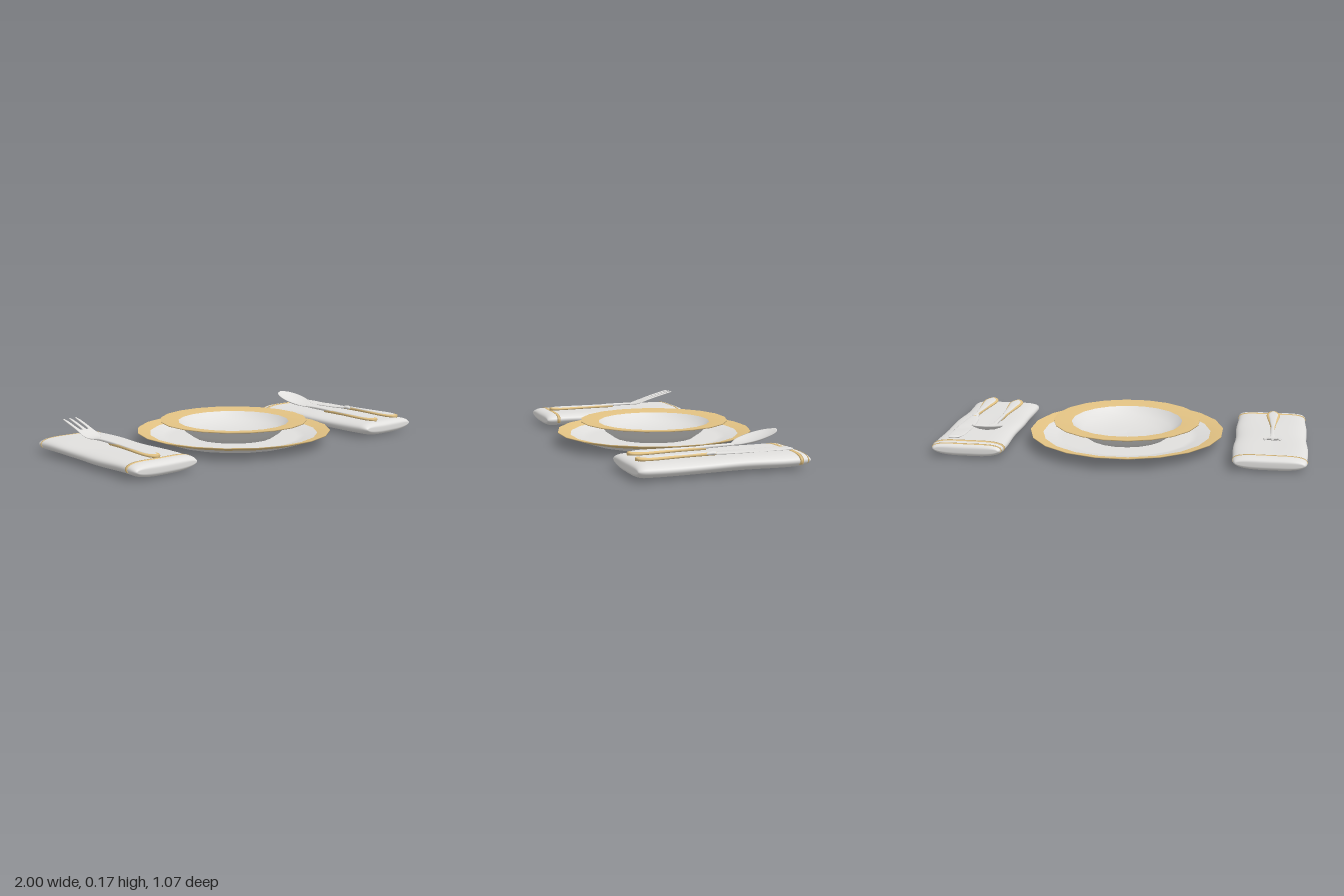
import * as THREE from 'three';

const white = new THREE.MeshStandardMaterial({ color: 0xe0dfdd });
white.name = 'white';
const gold = new THREE.MeshStandardMaterial({ color: 0xe2c283 });
gold.name = 'gold';

// Closed, capped skin over rings that run from +z to -z
function loft(name, rings, material) {
  const n = rings[0].length, last = rings.length - 1, pos = [], idx = [];
  rings.forEach(r => r.forEach(p => pos.push(...p)));
  for (const r of [rings[0], rings[last]]) {
    for (let k = 0; k < 3; k++) pos.push(r.reduce((s, p) => s + p[k], 0) / n);
  }
  const c0 = n * rings.length;
  for (let i = 0; i < n; i++) {
    const j = (i + 1) % n;
    for (let k = 0; k < last; k++) {
      const a = k * n + i, b = k * n + j;
      idx.push(a, a + n, b, b, a + n, b + n);
    }
    idx.push(c0, i, j, c0 + 1, last * n + j, last * n + i);
  }
  const geo = new THREE.BufferGeometry();
  geo.setAttribute('position', new THREE.Float32BufferAttribute(pos, 3));
  geo.setIndex(idx);
  geo.computeVertexNormals();
  const mesh = new THREE.Mesh(geo, material);
  mesh.name = name;
  return mesh;
}

const spow = (v, e) => Math.sign(v) * Math.abs(v) ** e;

// Cutlery part from stations [z, centre x, half width, centre y, half thickness, dish depth]
function bar(name, stations, material) {
  const curve = k => new THREE.CatmullRomCurve3(stations.map(s => new THREE.Vector3(s[k], s[k + 1], s[k + 2])));
  const a = curve(0), b = curve(3), steps = (stations.length - 1) * 3, rings = [];
  for (let k = 0; k <= steps; k++) {
    const p = a.getPoint(k / steps), q = b.getPoint(k / steps);
    rings.push(Array.from({ length: 16 }, (_, i) => {
      const t = i / 16 * Math.PI * 2, c = spow(Math.cos(t), 0.8);
      return [p.y + p.z * c, q.x + q.y * spow(Math.sin(t), 0.7) - q.z * (1 - c * c), p.x];
    }));
  }
  return loft(name, rings, material);
}

// Gold handle with a white inlay on top
function handle(group, x, end, y, width) {
  const shape = [[0, 0.1], [0.01, 0.55], [0.04, 0.93], [0.08, 1], [0.15, 0.84], [0.24, 0.52], [0.34, 0.32], [0.41, 0.27]];
  group.add(bar('handleEdge', shape.map(([d, w]) => [end - d, x, w * width, y, 0.009, 0]), gold));
  group.add(bar('handleInlay', shape.map(([d, w], i) =>
    [end - 0.016 - d * 0.96, x, Math.max(w * width - (i < 5 ? 0.011 : 0.004), 0.003), y + 0.006, 0.0055, 0]), white));
}

// One cross-section of a napkin, sagging in the middle
function napkinRing(z, side, a0, a1, n, grow) {
  const d = Math.max(0, Math.abs(z) - 0.4) / 0.05;
  const round = Math.sqrt(Math.max(0, 1 - d * d));
  const w = 0.175 + 0.02 * round + 0.003 * Math.sin(z * 17 + side) + grow;
  const h = 0.014 + 0.028 * round + grow;
  return Array.from({ length: n }, (_, i) => {
    const t = a0 + (a1 - a0) * i / n, c = spow(Math.cos(t), 0.62), s = spow(Math.sin(t), 0.8);
    const sag = s > 0 ? 0.007 * (1 - c * c) * s : 0;
    const wave = 0.003 * Math.sin(z * 11 + side * 2) * c * c;
    return [side * 0.802 + w * c * (s < 0 ? 1 + 0.1 * s : 1), 0.043 + h * s - sag + wave, z];
  });
}

function napkin(name, side, stripes) {
  const group = new THREE.Group();
  group.name = name;
  const rings = [];
  for (let k = 0; k <= 48; k++) {
    const u = k / 24 - 1;
    rings.push(napkinRing(-0.45 * Math.sin(u * Math.PI / 2), side, 0, Math.PI * 2, 48, 0));
  }
  group.add(loft('cloth', rings, white));
  for (const [z0, z1] of stripes) {
    group.add(loft('stripe', [z0, (z0 + z1) / 2, z1].map(z => napkinRing(z, side, -0.3, Math.PI + 0.3, 40, 0.0015)), gold));
  }
  return group;
}

// Plate from profile pieces: underside, coloured rim, inside
function plate(name, under, rim, inside) {
  const group = new THREE.Group();
  group.name = name;
  for (const [part, pts, mat] of [['underside', under, white], ['rim', rim, gold], ['inside', inside, white]]) {
    const geo = new THREE.LatheGeometry(pts.map(p => new THREE.Vector2(...p)), 20, Math.PI / 20);
    const mesh = new THREE.Mesh(geo, mat);
    mesh.name = part;
    group.add(mesh);
  }
  return group;
}

export function createModel() {
  const model = new THREE.Group();
  model.name = 'placeSetting';

  model.add(plate('dinnerPlate',
    [[0, 0.002], [0.33, 0], [0.37, 0.006], [0.47, 0.04]],
    [[0.47, 0.04], [0.54, 0.063], [0.54, 0.068], [0.47, 0.052]],
    [[0.47, 0.052], [0.4, 0.035], [0.36, 0.025], [0, 0.025]]));
  model.add(plate('soupPlate',
    [[0, 0.026], [0.22, 0.026], [0.27, 0.06], [0.305, 0.1], [0.32, 0.108]],
    [[0.32, 0.108], [0.41, 0.119], [0.41, 0.125], [0.31, 0.114]],
    [[0.31, 0.114], [0.29, 0.096], [0.25, 0.071], [0.18, 0.053], [0.1, 0.045], [0, 0.042]]));

  model.add(napkin('rightNapkin', -1, [[0.39, 0.372], [-0.4, -0.409]]));
  model.add(napkin('leftNapkin', 1, [[-0.38, -0.4], [-0.426, -0.433]]));

  // Fork
  const fork = new THREE.Group();
  fork.name = 'fork';
  const fx = -0.81;
  handle(fork, fx, 0.385, 0.088, 0.038);
  fork.add(bar('neck', [
    [0.08, fx, 0.009, 0.09, 0.008, 0], [0, fx, 0.011, 0.094, 0.008, 0], [-0.11, fx, 0.012, 0.095, 0.007, 0],
    [-0.145, fx, 0.019, 0.094, 0.006, 0], [-0.175, fx, 0.043, 0.098, 0.005, 0.003],
    [-0.21, fx, 0.051, 0.108, 0.004, 0.004], [-0.262, fx, 0.047, 0.124, 0.004, 0]], white));
  for (const dx of [-1, 0, 1]) {
    fork.add(bar('tine', [
      [-0.25, fx + dx * 0.035, 0.012, 0.12, 0.004, 0], [-0.3, fx + dx * 0.037, 0.009, 0.135, 0.004, 0],
      [-0.37, fx + dx * 0.038, 0.008, 0.154, 0.004, 0], [-0.412, fx + dx * 0.038, 0.004, 0.164, 0.003, 0]], white));
  }
  model.add(fork);

  // Spoon
  const spoon = new THREE.Group();
  spoon.name = 'spoon';
  const sx = 0.73;
  handle(spoon, sx, 0.415, 0.088, 0.04);
  spoon.add(bar('neck', [
    [0.08, sx, 0.01, 0.09, 0.008, 0], [0, sx, 0.011, 0.094, 0.008, 0], [-0.1, sx, 0.012, 0.096, 0.007, 0],
    [-0.15, sx, 0.022, 0.098, 0.005, 0]], white));
  spoon.add(bar('bowl', [
    [-0.14, sx, 0.016, 0.098, 0.005, 0], [-0.16, sx, 0.04, 0.102, 0.004, 0.004], [-0.19, sx, 0.065, 0.112, 0.004, 0.014],
    [-0.24, sx, 0.081, 0.125, 0.004, 0.022], [-0.29, sx, 0.081, 0.138, 0.004, 0.022],
    [-0.34, sx, 0.065, 0.15, 0.004, 0.015], [-0.37, sx, 0.04, 0.157, 0.004, 0.006],
    [-0.386, sx, 0.008, 0.161, 0.003, 0]], white));
  model.add(spoon);

  // Knife
  const knife = new THREE.Group();
  knife.name = 'knife';
  handle(knife, 0.89, 0.43, 0.092, 0.042);
  knife.add(bar('blade', [
    [0.08, 0.89, 0.012, 0.092, 0.006, 0], [0.02, 0.888, 0.022, 0.092, 0.006, 0], [-0.05, 0.884, 0.036, 0.091, 0.005, 0],
    [-0.15, 0.882, 0.044, 0.091, 0.004, 0], [-0.27, 0.882, 0.045, 0.091, 0.004, 0],
    [-0.35, 0.886, 0.039, 0.091, 0.004, 0], [-0.375, 0.892, 0.029, 0.091, 0.004, 0],
    [-0.386, 0.897, 0.018, 0.091, 0.003, 0]], white));
  model.add(knife);

  return model;
}
